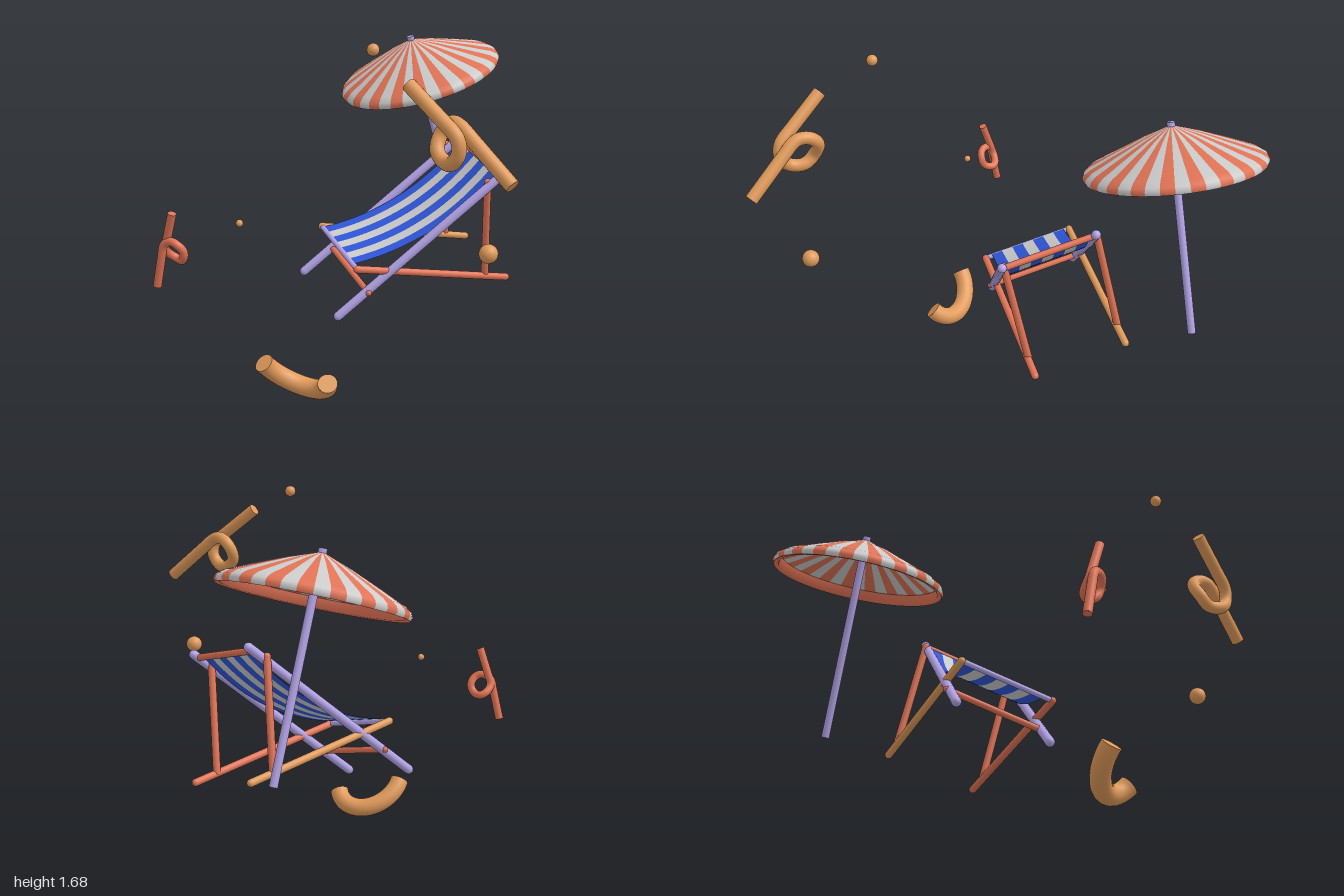
import * as THREE from 'three';
import { mergeGeometries } from 'three/addons/utils/BufferGeometryUtils.js';

const V = (x, y, z) => new THREE.Vector3(x, y, z);
const Y = V(0, 1, 0);
const mat = (color, side = THREE.FrontSide) =>
  new THREE.MeshStandardMaterial({ color, side });
const CORAL = 0xe07355, LILAC = 0xb3a3e6, TAN = 0xe09a5a, BLUE = 0x2f56d8, GREY = 0xcccccc;

export function createModel() {
  const model = new THREE.Group();

  const add = (name, geometry, material, parent = model) => {
    const mesh = new THREE.Mesh(geometry, material);
    mesh.name = name;
    parent.add(mesh);
    return mesh;
  };

  // round-ended rod between two points
  const rod = (name, a, b, r, color) => {
    const d = b.clone().sub(a);
    const m = add(name, new THREE.CapsuleGeometry(r, d.length(), 5, 16), mat(color));
    m.position.copy(a).add(b).multiplyScalar(0.5);
    m.quaternion.setFromUnitVectors(Y, d.normalize());
  };

  // tube along points, closed with flat discs
  const cappedTube = (name, points, r, color) => {
    const curve = new THREE.CatmullRomCurve3(points);
    const parts = [new THREE.TubeGeometry(curve, 120, r, 20)];
    for (const t of [0, 1]) {
      const out = curve.getTangentAt(t).multiplyScalar(t ? 1 : -1);
      const q = new THREE.Quaternion().setFromUnitVectors(V(0, 0, 1), out);
      const p = curve.getPointAt(t);
      parts.push(new THREE.CircleGeometry(r, 20).applyQuaternion(q).translate(p.x, p.y, p.z));
    }
    add(name, mergeGeometries(parts), mat(color));
  };

  // ---- deck chair: the right side, repeated across the width vector ----
  const width = V(0.391, -0.105, 0.198);
  const across = (p, t) => p.clone().addScaledVector(width, t);
  const longLow = V(-0.664, 0.424, 0.166), longTop = V(-0.155, 1.075, -0.474);
  const baseFront = V(-0.581, 0.659, 0.121), baseBack = V(-0.238, 0.508, -0.613);
  const strutTop = V(-0.216, 1.03, -0.417), strutLow = V(-0.291, 0.535, -0.507);
  [['right', 0, TAN], ['left', 1, CORAL]].forEach(([side, t, baseColor]) => {
    rod(side + 'LongRail', across(longLow, t), across(longTop, t), 0.022, LILAC);
    rod(side + 'BaseRail', across(baseFront, t), across(baseBack, t), 0.018, baseColor);
    rod(side + 'Strut', across(strutTop, t), across(strutLow, t), 0.018, CORAL);
  });
  const topBar = longLow.clone().lerp(longTop, 0.975);
  rod('topCrossbar', topBar, across(topBar, 1), 0.016, CORAL);
  rod('frontCrossbar', baseFront, across(baseFront, 1), 0.013, LILAC);
  const lowBar = longLow.clone().lerp(longTop, 0.173);
  rod('lowerCrossbar', across(lowBar, -0.04), across(lowBar, 1.04), 0.015, CORAL);

  // sagging striped fabric
  const sag = baseFront.clone().lerp(topBar, 0.5).addScaledVector(V(0.046, -0.841, -0.539), 0.155);
  const sling = new THREE.QuadraticBezierCurve3(
    baseFront.clone().add(V(0, 0.012, 0)), sag, topBar.clone().add(V(0, 0.012, 0)));
  const fabric = { [BLUE]: [], [GREY]: [] };
  const stripes = 7, edge = 0.07;
  for (let i = 0; i < stripes; i++) {
    const g = new THREE.PlaneGeometry(1, 1, 1, 24);
    const pos = g.attributes.position;
    for (let k = 0; k < pos.count; k++) {
      const s = edge + (1 - 2 * edge) * (i + pos.getX(k) + 0.5) / stripes;
      const p = across(sling.getPoint(pos.getY(k) + 0.5), s);
      pos.setXYZ(k, p.x, p.y, p.z);
    }
    g.computeVertexNormals();
    fabric[i % 2 ? GREY : BLUE].push(g);
  }
  add('blueFabricStripes', mergeGeometries(fabric[BLUE]), mat(BLUE, THREE.DoubleSide));
  add('greyFabricStripes', mergeGeometries(fabric[GREY]), mat(GREY, THREE.DoubleSide));

  // ---- parasol, leaning along its pole ----
  const parasol = new THREE.Group();
  parasol.name = 'parasol';
  parasol.position.set(-0.52, 1.336, -0.597);
  parasol.quaternion.setFromUnitVectors(Y, V(-0.082, 0.954, 0.288).normalize());
  model.add(parasol);

  const profile = [[0.412, -0.016], [0.42, 0], [0.412, 0.018], [0.385, 0.038],
    [0.28, 0.085], [0.14, 0.145], [0.005, 0.195]].map(p => new THREE.Vector2(...p));
  const panels = 40, step = Math.PI * 2 / panels;
  const canopy = [[], []];
  for (let i = 0; i < panels; i++)
    canopy[i % 2].push(new THREE.LatheGeometry(profile, 2, (i - 0.3) * step, step));
  add('coralCanopyPanels', mergeGeometries(canopy[0]), mat(CORAL, THREE.DoubleSide), parasol);
  add('greyCanopyPanels', mergeGeometries(canopy[1]), mat(GREY, THREE.DoubleSide), parasol);
  const hem = [[0.412, -0.016], [0.39, -0.012], [0.384, 0.034]].map(p => new THREE.Vector2(...p));
  add('canopyHem', new THREE.LatheGeometry(hem, 64), mat(CORAL, THREE.DoubleSide), parasol);
  add('pole', new THREE.CylinderGeometry(0.019, 0.019, 1.0, 20), mat(LILAC), parasol).position.y = -0.295;
  add('poleTip', new THREE.CylinderGeometry(0.019, 0.019, 0.03, 20), mat(LILAC), parasol).position.y = 0.195;

  // ---- floating ornaments ----
  [[0.203, 1.652, 0.661, 0.027], [0.708, 0.835, 0.54, 0.041], [-0.478, 0.83, 0.79, 0.017]]
    .forEach(([x, y, z, r], i) => {
      add('ball' + (i + 1), new THREE.SphereGeometry(r, 24, 16), mat(TAN)).position.set(x, y, z);
    });

  // half ring
  const endA = V(-0.388, 0.175, 0.755), endB = V(-0.098, 0.108, 0.645);
  const mid = endA.clone().add(endB).multiplyScalar(0.5);
  const half = endB.clone().sub(mid), dip = V(-0.265, 0.05, 0.622).sub(mid);
  const t0 = 0.2, arc = [];
  for (let i = 0; i <= 16; i++) {
    const t = t0 + (Math.PI - 2 * t0) * i / 16;
    arc.push(mid.clone().addScaledVector(half, Math.cos(t) / Math.cos(t0))
      .addScaledVector(dip, (Math.sin(t) - Math.sin(t0)) / (1 - Math.sin(t0))));
  }
  cappedTube('halfRing', arc, 0.046, TAN);

  // straight rods that make one full turn on the way
  const loopedRod = (name, a, b, cx, cy, r, tube, depths, color) => {
    const phi = Math.atan2(b.x - a.x, -(b.y - a.y));
    const loop = [];
    for (let i = 0; i <= 16; i++) {
      const k = Math.min(Math.floor(i / 4), 3), f = i / 4 - k;
      const ang = phi - Math.PI * 2 * i / 16;
      loop.push(V(cx + r * Math.cos(ang), cy + r * Math.sin(ang),
        THREE.MathUtils.lerp(depths[k], depths[k + 1], THREE.MathUtils.smoothstep(f, 0, 1))));
    }
    const near = (p, q) => [p.clone().lerp(q, 0.4), p.clone().lerp(q, 0.8)];
    const inner = near(a, loop[0]), outer = near(b, loop[16]).reverse();
    cappedTube(name, [a, ...inner, ...loop, ...outer, b], tube, color);
  };
  loopedRod('largeLoopedRod', V(0.452, 1.541, 0.742), V(0.912, 1.173, 0.674), 0.62, 1.312,
    0.08, 0.031, [0.742, 0.735, 0.69, 0.642, 0.672], TAN);
  loopedRod('smallLoopedRod', V(-0.845, 0.51, 0.966), V(-0.734, 0.87, 0.957), -0.75, 0.686,
    0.049, 0.02, [0.965, 0.955, 0.925, 0.902, 0.95], CORAL);

  return model;
}
